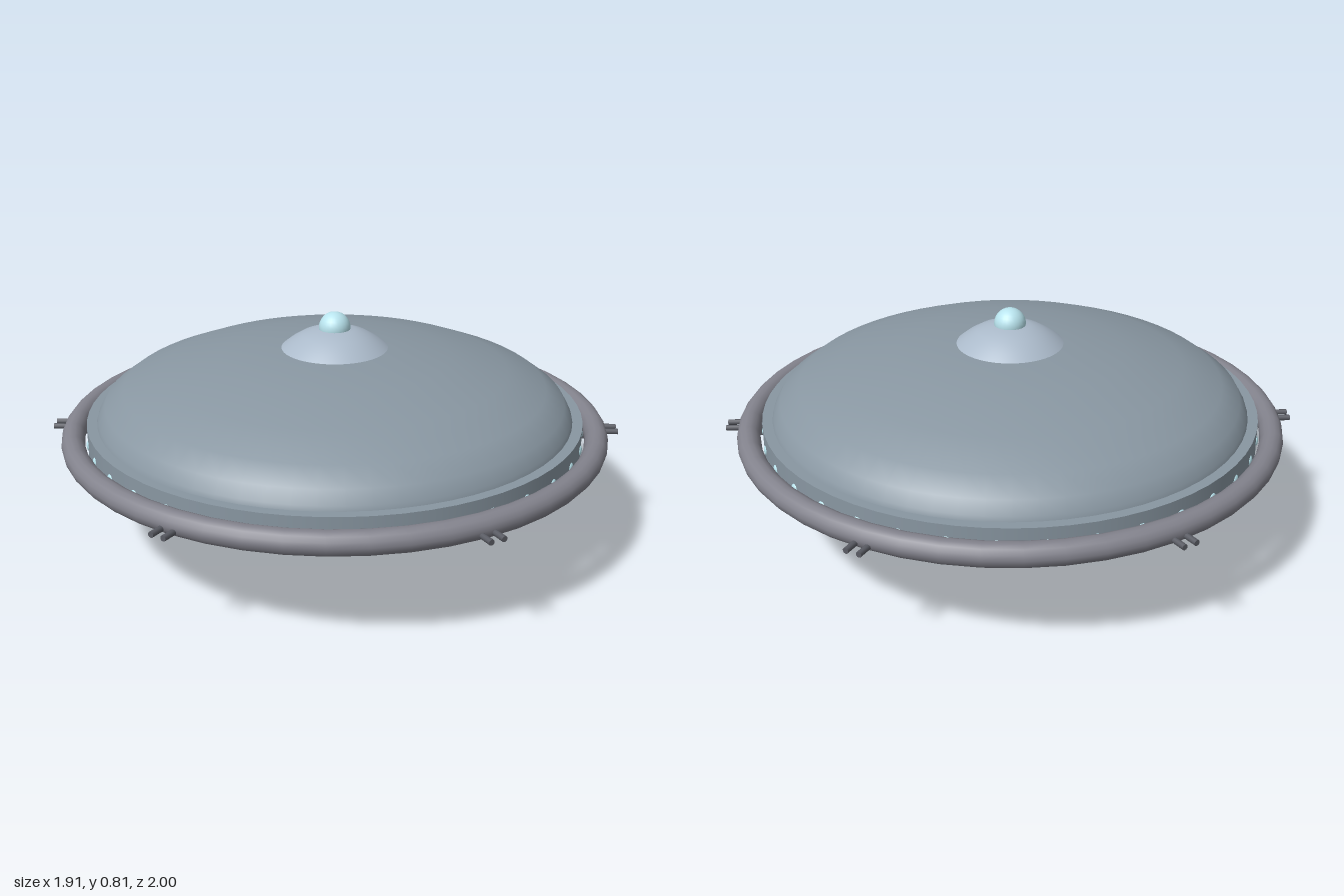
import * as THREE from 'three';

const mat = (color) => new THREE.MeshStandardMaterial({ color });
const hullMat = mat(0x8997a2);
const ringMat = mat(0x83838d);
const darkMat = mat(0x5a5c64);
const domeMat = mat(0xabbaca);
const glowMat = mat(0xb9e4ee);

function add(parent, name, geometry, material, x = 0, y = 0, z = 0) {
  const mesh = new THREE.Mesh(geometry, material);
  mesh.name = name;
  mesh.position.set(x, y, z);
  parent.add(mesh);
  return mesh;
}

// Profiles are [radius, height] pairs running from bottom to top
const lathe = (profile) =>
  new THREE.LatheGeometry(profile.map(([r, y]) => new THREE.Vector2(r, y)), 64);

export function createModel() {
  const model = new THREE.Group();
  model.name = 'flyingSaucer';

  // Hull shells, split where the surface has a sharp edge
  add(model, 'upperHull', lathe([
    [0.83, 0.45], [0.825, 0.465], [0.8, 0.508], [0.735, 0.556], [0.6, 0.61],
    [0.4, 0.655], [0.2, 0.678], [0, 0.682],
  ]), hullMat);
  add(model, 'lowerHull', lathe([
    [0.24, 0.11], [0.4, 0.18], [0.6, 0.23], [0.74, 0.285], [0.8, 0.33],
  ]), hullMat);
  add(model, 'lowerHullFloor', lathe([[0.17, 0.11], [0.24, 0.11]]), hullMat);

  // Rim band around the widest part
  add(model, 'rimBand', new THREE.CylinderGeometry(0.865, 0.865, 0.12, 64), hullMat, 0, 0.39, 0);

  // Row of small lights set into the rim band
  const lights = new THREE.Group();
  lights.name = 'rimLights';
  model.add(lights);
  const lightGeo = new THREE.SphereGeometry(0.018, 10, 8);
  for (let i = 0; i < 36; i++) {
    const a = ((i + 0.5) / 36) * Math.PI * 2;
    const light = add(lights, 'rimLight', lightGeo, glowMat,
      Math.sin(a) * 0.862, 0.392, Math.cos(a) * 0.862);
    light.rotation.y = a;
    light.scale.z = 0.5;
  }

  // Floating outer ring
  const ring = add(model, 'outerRing', new THREE.TorusGeometry(0.915, 0.04, 14, 48), ringMat, 0, 0.392, 0);
  ring.rotation.x = Math.PI / 2;

  // Six brackets joining ring and rim, each with a pair of prongs
  const bracketGeo = new THREE.BoxGeometry(0.085, 0.04, 0.05);
  const prongGeo = new THREE.CylinderGeometry(0.01, 0.01, 0.13, 10).rotateX(Math.PI / 2);
  for (let i = 0; i < 6; i++) {
    const mount = new THREE.Group();
    mount.name = 'ringMount';
    mount.rotation.y = (i / 6) * Math.PI * 2;
    add(mount, 'bracket', bracketGeo, darkMat, 0, 0.38, 0.875);
    for (const s of [-1, 1]) add(mount, 'prong', prongGeo, darkMat, s * 0.023, 0.38, 0.935);
    model.add(mount);
  }

  // Top cap and beacon
  add(model, 'topDome', lathe([
    [0.185, 0.679], [0.155, 0.703], [0.115, 0.727], [0.07, 0.744], [0, 0.752],
  ]), domeMat);
  add(model, 'topBeacon', new THREE.SphereGeometry(0.055, 24, 16), glowMat, 0, 0.75, 0);

  // Underside cone, end plate and lamp
  add(model, 'bottomCone', lathe([[0.09, 0.028], [0.182, 0.11]]), hullMat);
  add(model, 'bottomPlate', lathe([[0, 0.028], [0.09, 0.028]]), hullMat);
  add(model, 'bottomLamp', new THREE.SphereGeometry(0.055, 24, 16), glowMat, 0, 0.055, 0);

  return model;
}
